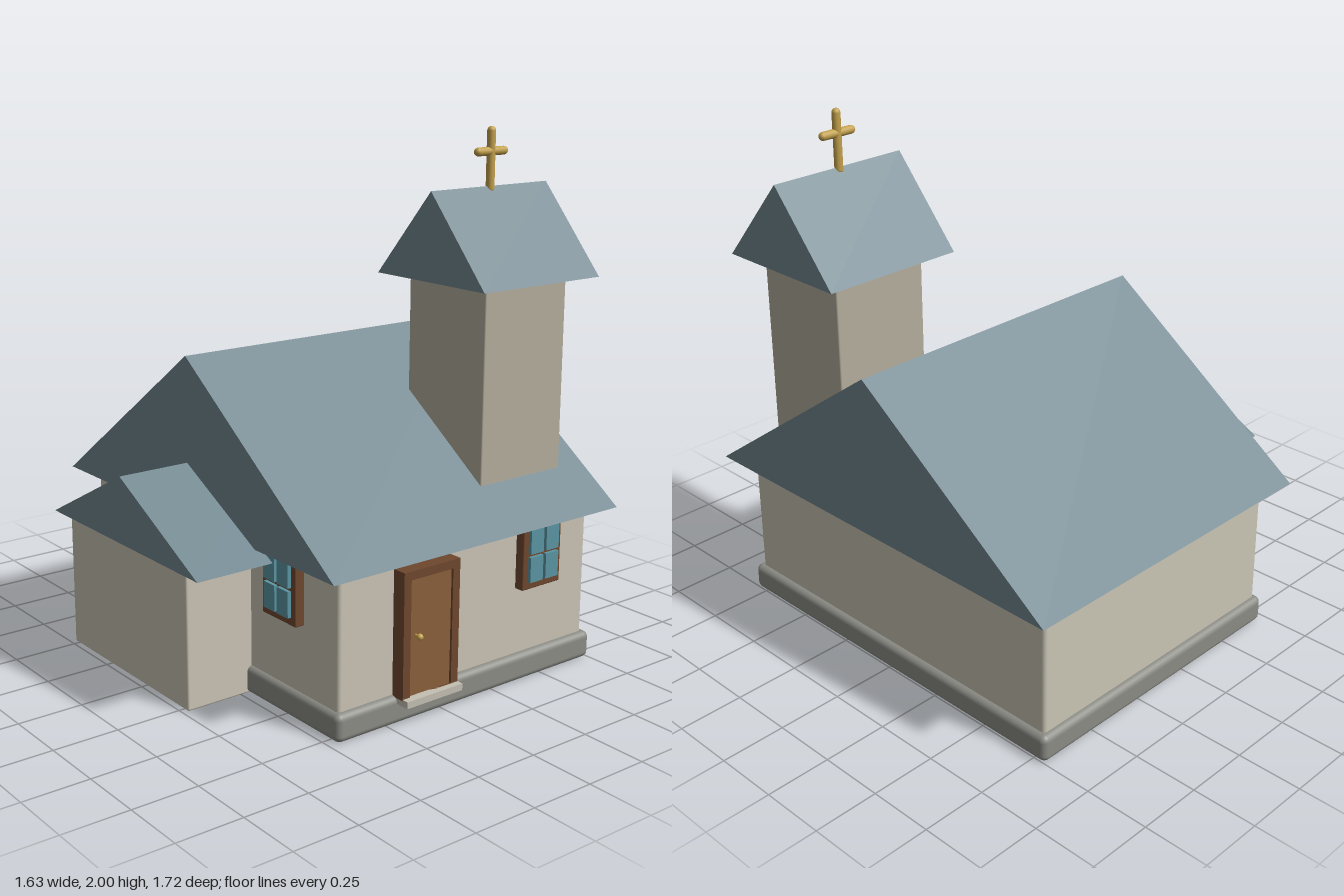
import * as THREE from 'three';
import { RoundedBoxGeometry } from 'three/addons/geometries/RoundedBoxGeometry.js';

const paint = (color) => new THREE.MeshStandardMaterial({ color });
const mats = {
  wall: paint(0xc9c4b4),
  tower: paint(0xb3ad9c),
  stone: paint(0x8c8c86),
  step: paint(0xc4bfb2),
  roof: paint(0x728790),
  frame: paint(0x6e472e),
  door: paint(0x8a5f3a),
  glass: paint(0x5a95a3),
  gold: paint(0xc2a04c),
};

function add(parent, name, geometry, material, x = 0, y = 0, z = 0) {
  const mesh = new THREE.Mesh(geometry, material);
  mesh.name = name;
  mesh.position.set(x, y, z);
  parent.add(mesh);
  return mesh;
}

// Box given by its limits on each axis, with optional rounded edges
function block(parent, name, material, [x0, x1], [y0, y1], [z0, z1], radius = 0) {
  const size = [x1 - x0, y1 - y0, z1 - z0];
  const geometry = radius
    ? new RoundedBoxGeometry(...size, 3, radius)
    : new THREE.BoxGeometry(...size);
  return add(parent, name, geometry, material, (x0 + x1) / 2, (y0 + y1) / 2, (z0 + z1) / 2);
}

// Solid gable roof with its ridge running along x
function gable(parent, name, [x0, x1], [y0, y1], [z0, z1]) {
  const half = (z1 - z0) / 2;
  const shape = new THREE.Shape([
    new THREE.Vector2(-half, 0),
    new THREE.Vector2(half, 0),
    new THREE.Vector2(0, y1 - y0),
  ]);
  const geometry = new THREE.ExtrudeGeometry(shape, { depth: x1 - x0, bevelEnabled: false });
  geometry.rotateY(Math.PI / 2);
  return add(parent, name, geometry, mats.roof, x0, y0, (z0 + z1) / 2);
}

// Rectangular frame with an opening, facing +z, bottom centre at the origin
function frameGeometry(w, h, border, bottom, depth) {
  const rect = (x, y, a, b) => [[x, y], [a, y], [a, b], [x, b]].map((p) => new THREE.Vector2(...p));
  const shape = new THREE.Shape(rect(-w / 2, 0, w / 2, h));
  shape.holes.push(new THREE.Path(rect(-w / 2 + border, bottom, w / 2 - border, h - border)));
  return new THREE.ExtrudeGeometry(shape, { depth, bevelEnabled: false });
}

// Window facing +z: wooden back frame and four raised panes
function createWindow() {
  const group = new THREE.Group();
  group.name = 'window';
  block(group, 'windowFrame', mats.frame, [-0.095, 0.095], [0, 0.24], [0, 0.04], 0.005);
  for (const sx of [-1, 1]) {
    for (const y of [0.03, 0.138]) {
      const x = sx * 0.0385;
      block(group, 'windowPane', mats.glass, [x - 0.032, x + 0.032], [y, y + 0.096], [0.03, 0.054]);
    }
  }
  return group;
}

// Door facing +z: frame, leaf and knob
function createDoor() {
  const group = new THREE.Group();
  group.name = 'door';
  add(group, 'doorFrame', frameGeometry(0.255, 0.465, 0.032, 0.005, 0.055), mats.frame);
  block(group, 'doorLeaf', mats.door, [-0.097, 0.097], [0.003, 0.435], [0, 0.046]);
  const stem = add(group, 'knobStem', new THREE.CylinderGeometry(0.005, 0.005, 0.03, 12), mats.gold, -0.065, 0.225, 0.055);
  stem.rotation.x = Math.PI / 2;
  add(group, 'doorKnob', new THREE.SphereGeometry(0.012, 16, 12), mats.gold, -0.065, 0.225, 0.068);
  return group;
}

export function createModel() {
  const chapel = new THREE.Group();
  chapel.name = 'chapel';

  // Main hall
  block(chapel, 'foundation', mats.stone, [-0.475, 0.755], [0, 0.105], [-0.805, 0.805], 0.025);
  block(chapel, 'hallWalls', mats.wall, [-0.455, 0.73], [0.09, 0.605], [-0.78, 0.78], 0.015);
  gable(chapel, 'hallRoof', [-0.535, 0.815], [0.6, 1.21], [-0.855, 0.855]);

  // Side annex
  block(chapel, 'annexWalls', mats.wall, [-0.73, -0.25], [0, 0.565], [-0.525, 0.28], 0.008);
  gable(chapel, 'annexRoof', [-0.818, -0.2], [0.565, 0.815], [-0.485, 0.485]);

  // Bell tower
  block(chapel, 'towerWalls', mats.tower, [0.29, 0.693], [0.002, 1.465], [0.264, 0.667], 0.006);
  gable(chapel, 'towerRoof', [0.205, 0.78], [1.46, 1.785], [0.181, 0.747]);

  // Cross on the tower ridge
  const cross = new THREE.Group();
  cross.name = 'cross';
  cross.position.set(0.492, 0, 0.464);
  add(cross, 'crossPost', new THREE.CapsuleGeometry(0.016, 0.208, 4, 16), mats.gold, 0, 1.88, 0);
  const bar = add(cross, 'crossBar', new THREE.CapsuleGeometry(0.016, 0.126, 4, 16), mats.gold, 0, 1.91, 0);
  bar.rotation.z = Math.PI / 2;
  chapel.add(cross);

  // Entrance
  const door = createDoor();
  door.position.set(-0.088, 0.1, 0.78);
  chapel.add(door);
  block(chapel, 'doorStep', mats.step, [-0.215, 0.04], [0.08, 0.105], [0.77, 0.86]);

  // Windows in the front wall and the right wall
  const frontWindow = createWindow();
  frontWindow.position.set(0.46, 0.36, 0.78);
  const sideWindow = createWindow();
  sideWindow.position.set(-0.455, 0.36, 0.5);
  sideWindow.rotation.y = -Math.PI / 2;
  chapel.add(frontWindow, sideWindow);

  return chapel;
}
